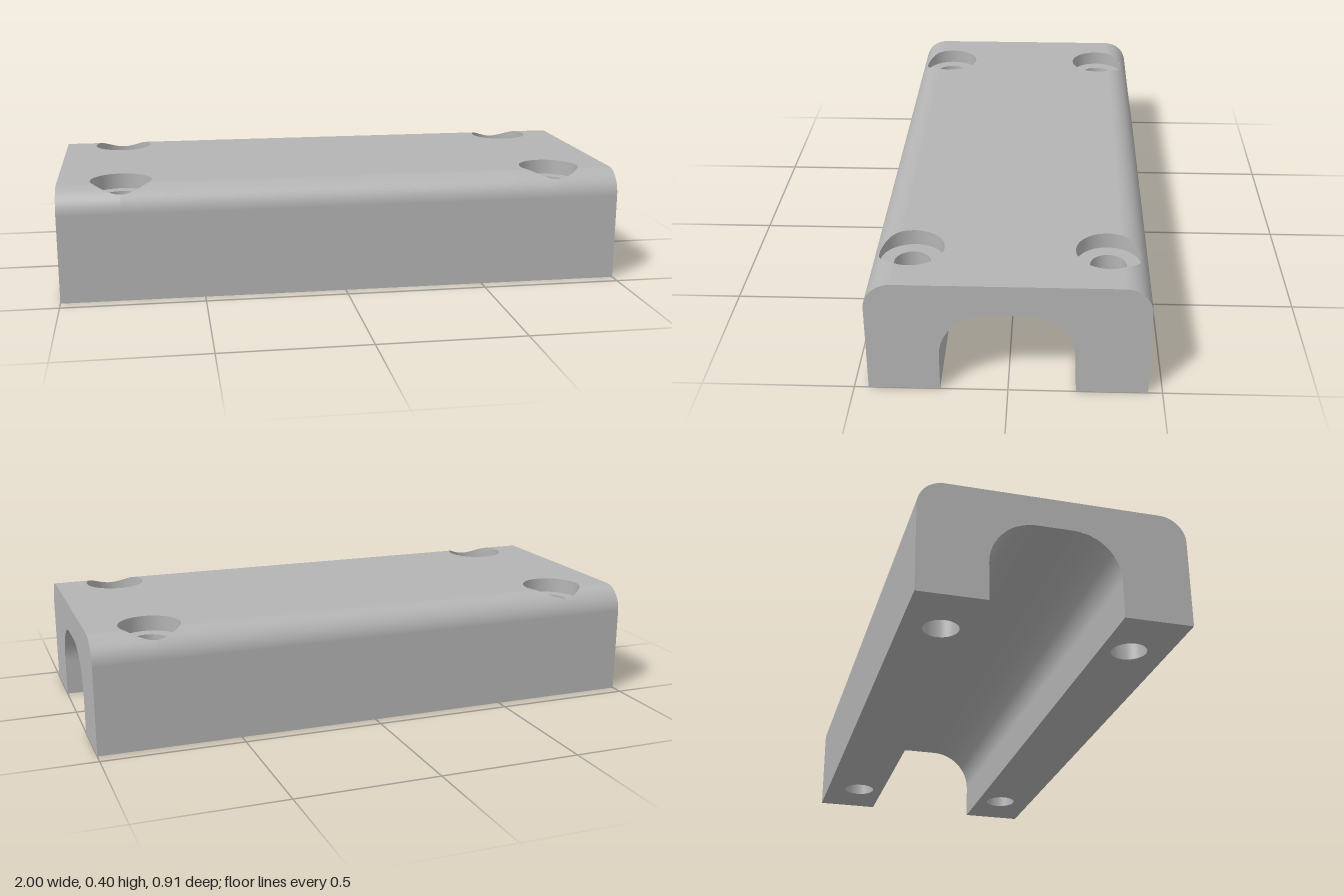
import * as THREE from 'three';

const L = 1, W = 0.453, H = 0.4, FILLET = 0.09;        // half length, half width, height, top rounding
const CW = 0.22, CH = 0.293, CR = 0.16;                // channel half width, height, rounding
const HX = 0.78, HZ = 0.32, BORE = 0.06, SINK = 0.107; // screw hole positions and radii
const SINK_Y = 0.346;                                  // floor of the counterbores

// Height of the rounded top at a given z
function topY(z) {
  const d = Math.max(0, Math.abs(z) - (W - FILLET));
  return H - FILLET + Math.sqrt(Math.max(0, FILLET * FILLET - d * d));
}

// Sweep rows {z, y, n: [ny, nz], spans} along x; each span is a filled x interval
function sweep(rows) {
  const pos = [], nor = [], idx = [];
  for (let i = 0; i < rows.length - 1; i++) {
    const a = rows[i], b = rows[i + 1];
    a.spans.forEach((s, k) => {
      const t = b.spans[k], v = pos.length / 3;
      pos.push(s[0], a.y, a.z, s[1], a.y, a.z, t[1], b.y, b.z, t[0], b.y, b.z);
      for (const r of [a, a, b, b]) nor.push(0, ...r.n);
      idx.push(v, v + 1, v + 2, v, v + 2, v + 3);
    });
  }
  const g = new THREE.BufferGeometry();
  g.setAttribute('position', new THREE.Float32BufferAttribute(pos, 3));
  g.setAttribute('normal', new THREE.Float32BufferAttribute(nor, 3));
  g.setIndex(idx);
  return g;
}

// Outer skin: both sides, rounded edges and top, leaving the counterbores open
function shellGeometry() {
  const zs = new Set([0]);
  for (let i = 0; i <= 16; i++) zs.add(W - FILLET + FILLET * Math.sin(i / 16 * Math.PI / 2));
  for (let i = 0; i <= 32; i++) zs.add(HZ + SINK * Math.cos(i / 32 * Math.PI));
  const half = [...zs].sort((a, b) => b - a);
  const all = [...half, ...half.slice(0, -1).reverse().map(z => -z)];
  const row = (z, y) => {
    const d = Math.abs(z) - HZ, w = Math.sqrt(Math.max(0, SINK * SINK - d * d));
    const nz = Math.max(0, Math.abs(z) - (W - FILLET)) / FILLET;
    return {
      z, y, n: [Math.sqrt(Math.max(0, 1 - nz * nz)), Math.sign(z) * nz],
      spans: [[-L, -HX - w], [-HX + w, HX - w], [HX + w, L]],
    };
  };
  return sweep([row(W, 0), ...all.map(z => row(z, topY(z))), row(-W, 0)]);
}

// Inside of the channel, facing inwards
function channelGeometry() {
  const spans = [[-L, L]], rows = [{ z: -CW, y: 0, n: [0, 1], spans }];
  for (const side of [-1, 1]) {
    for (let i = 0; i <= 20; i++) {
      const a = (side < 0 ? i : 20 - i) / 20 * Math.PI / 2;
      const c = Math.cos(a), s = Math.sin(a);
      rows.push({ z: side * (CW - CR + CR * c), y: CH - CR + CR * s, n: [-s, -side * c], spans });
    }
  }
  rows.push({ z: CW, y: 0, n: [0, -1], spans });
  return sweep(rows);
}

// Arch-shaped end face
function endGeometry() {
  const s = new THREE.Shape();
  s.moveTo(CW, 0).lineTo(W, 0).lineTo(W, H - FILLET);
  s.absarc(W - FILLET, H - FILLET, FILLET, 0, Math.PI / 2, false);
  s.absarc(-W + FILLET, H - FILLET, FILLET, Math.PI / 2, Math.PI, false);
  s.lineTo(-W, 0).lineTo(-CW, 0).lineTo(-CW, CH - CR);
  s.absarc(-CW + CR, CH - CR, CR, Math.PI, Math.PI / 2, true);
  s.absarc(CW - CR, CH - CR, CR, Math.PI / 2, 0, true);
  return new THREE.ShapeGeometry(s, 20);
}

// Underside of one leg with two bores; shape y becomes z, facing down
function footGeometry(side) {
  const a = side > 0 ? CW : -W, b = side > 0 ? W : -CW;
  const s = new THREE.Shape();
  s.moveTo(-L, a).lineTo(L, a).lineTo(L, b).lineTo(-L, b).closePath();
  for (const x of [-HX, HX]) {
    s.holes.push(new THREE.Path().absarc(x, side * HZ, BORE, 0, Math.PI * 2, true));
  }
  return new THREE.ShapeGeometry(s, 24).rotateX(Math.PI / 2);
}

export function createModel() {
  const group = new THREE.Group();
  group.name = 'clampBlock';
  const grey = new THREE.MeshStandardMaterial({ color: 0xb4b4b4 });
  grey.name = 'grey';
  const add = (name, geometry, parent = group) => {
    const mesh = new THREE.Mesh(geometry, grey);
    mesh.name = name;
    parent.add(mesh);
    return mesh;
  };

  add('outerShell', shellGeometry());
  add('channel', channelGeometry());
  add('leftEnd', endGeometry().rotateY(Math.PI / 2).translate(L, 0, 0));
  add('rightEnd', endGeometry().rotateY(-Math.PI / 2).translate(-L, 0, 0));
  add('frontFoot', footGeometry(1));
  add('backFoot', footGeometry(-1));

  // Counterbored screw holes: profiles run downwards so the faces look inwards
  const lathe = (...pts) => new THREE.LatheGeometry(pts.map(p => new THREE.Vector2(...p)), 64);
  for (const x of [-HX, HX]) {
    for (const z of [-HZ, HZ]) {
      const hole = new THREE.Group();
      hole.name = 'screwHole';
      hole.position.set(x, 0, z);
      const wall = lathe([SINK, H], [SINK, SINK_Y]);
      const p = wall.attributes.position;
      // Trim the rim to the rounded top edge
      for (let i = 0; i < p.count; i++) {
        if (p.getY(i) > SINK_Y + 0.01) p.setY(i, topY(z + p.getZ(i)));
      }
      add('counterboreWall', wall, hole);
      add('counterboreFloor', lathe([SINK, SINK_Y], [BORE, SINK_Y]), hole);
      add('bore', lathe([BORE, SINK_Y], [BORE, 0]), hole);
      group.add(hole);
    }
  }
  return group;
}
